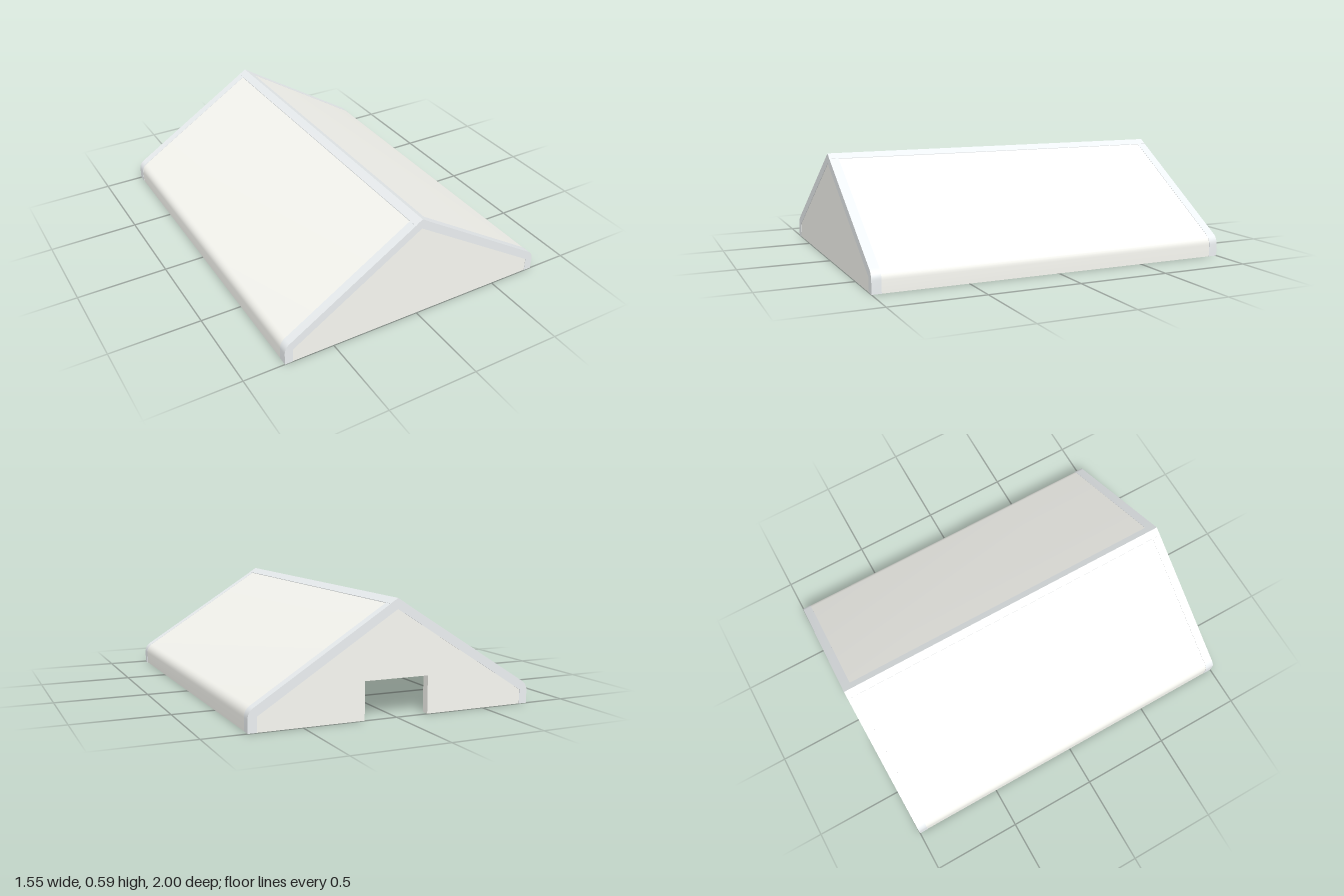
import * as THREE from 'three';
import { toCreasedNormals } from 'three/addons/utils/BufferGeometryUtils.js';

const HALF = 0.775, PEAK = 0.589, SLOPE = 0.63;
const WALL = 0.045, STEP = 0.0015, END = 0.95;
const panelMat = new THREE.MeshStandardMaterial({ color: 0xf8f8f2 });
const trimMat = new THREE.MeshStandardMaterial({ color: 0xebeff1 });

// Roof outline moved inward by d, from the +x foot over the ridge to the -x foot
function outline(d, rounded) {
  const x = HALF - d;
  const peak = PEAK - d * Math.hypot(1, SLOPE);
  const eave = peak - SLOPE * x;
  let half = [new THREE.Vector2(x, eave)];
  if (rounded) {
    half = new THREE.QuadraticBezierCurve(
      new THREE.Vector2(x, eave - 0.035),
      new THREE.Vector2(x, eave),
      new THREE.Vector2(x - 0.03, eave + 0.03 * SLOPE)
    ).getPoints(6);
  }
  half.unshift(new THREE.Vector2(x, 0));
  const mirrored = half.map((p) => new THREE.Vector2(-p.x, p.y)).reverse();
  return [...half, new THREE.Vector2(0, peak), ...mirrored];
}

// Extrude a cross-section between two z positions, rounding only the eaves
function extrude(name, points, z0, z1, material) {
  const geo = new THREE.ExtrudeGeometry(new THREE.Shape(points), {
    depth: z1 - z0, bevelEnabled: false,
  });
  geo.translate(0, 0, z0);
  const mesh = new THREE.Mesh(toCreasedNormals(geo, 0.5), material);
  mesh.name = name;
  return mesh;
}

// Open-bottomed band between an outer and an inner outline
const band = (d) => [...outline(d, true), ...outline(WALL, false).reverse()];

export function createModel() {
  const model = new THREE.Group();
  model.name = 'gableRoof';

  // Hollow roof with short side walls
  model.add(extrude('roofShell', band(STEP), -END, END, panelMat));

  // Thin strip along the whole ridge
  const w = 0.04, top = PEAK + 0.001, drop = w * SLOPE, deep = 0.02;
  model.add(extrude('ridgeCap', [
    new THREE.Vector2(w, top - drop),
    new THREE.Vector2(0, top),
    new THREE.Vector2(-w, top - drop),
    new THREE.Vector2(-w, top - drop - deep),
    new THREE.Vector2(0, top - deep),
    new THREE.Vector2(w, top - drop - deep),
  ], -0.9995, 0.9995, trimMat));

  // Trim around both ends
  model.add(extrude('frontTrim', band(0), END, 1, trimMat));
  model.add(extrude('backTrim', band(0), -1, -END, trimMat));

  // Gable panels set slightly back; the rear one has a notch at the bottom
  const gable = outline(WALL, false);
  const notch = [[-0.175, 0], [-0.175, 0.195], [0.175, 0.195], [0.175, 0]]
    .map(([x, y]) => new THREE.Vector2(x, y));
  model.add(extrude('frontGable', gable, 0.955, 0.998, panelMat));
  model.add(extrude('backGable', [...gable, ...notch], -0.998, -0.955, panelMat));

  return model;
}
